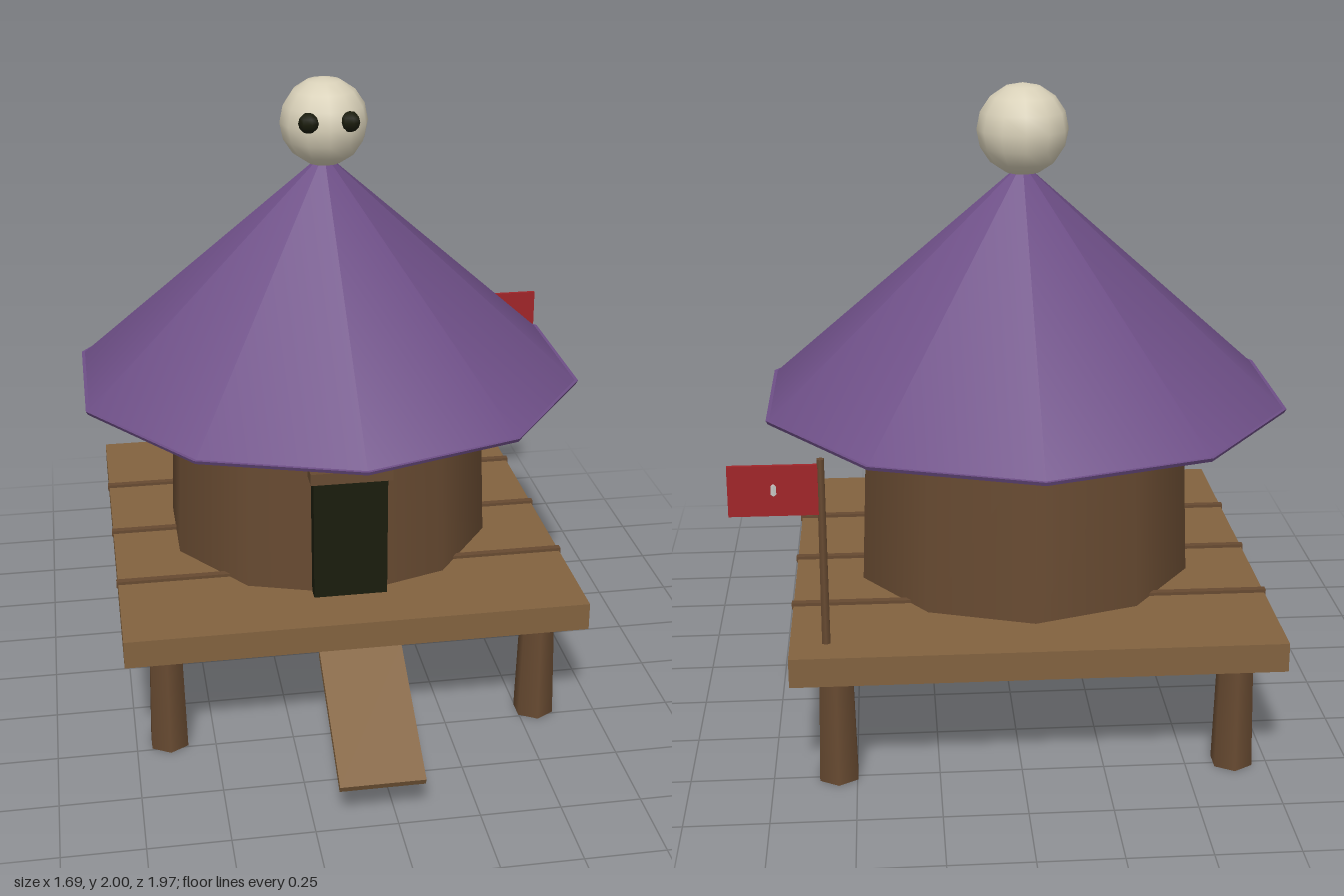
import * as THREE from 'three';

export function createModel() {
  const model = new THREE.Group();
  const material = (name, color) => {
    const m = new THREE.MeshStandardMaterial({ color });
    m.name = name;
    return m;
  };
  const plank = material('plank wood', 0x82623f);
  const bark = material('dark wood', 0x674a31);
  const thatch = material('purple roof', 0x6e4f87);
  const bone = material('bone', 0xd8d0b8);
  const dark = material('dark opening', 0x1a1c0c);
  const red = material('red cloth', 0xa02428);
  const silver = material('silver', 0xc8c8c4);

  // Centre of the hut and its platform
  const CX = -0.045, CZ = -0.14;

  const add = (name, geometry, mat, x, y, z) => {
    const mesh = new THREE.Mesh(geometry, mat);
    mesh.name = name;
    mesh.position.set(x, y, z);
    model.add(mesh);
    return mesh;
  };
  const box = (name, mat, w, h, d, x, y, z) =>
    add(name, new THREE.BoxGeometry(w, h, d), mat, x, y, z);

  // Platform on four tapered stilts
  box('platform', plank, 1.465, 0.09, 1.465, CX, 0.41, CZ);
  for (const sx of [-1, 1]) {
    for (const sz of [-1, 1]) {
      add('stilt', new THREE.CylinderGeometry(0.056, 0.066, 0.37, 6), bark,
        CX + sx * 0.6, 0.185, CZ + sz * 0.6);
    }
  }

  // Dark battens across the deck
  for (const dz of [-0.36, 0, 0.36]) {
    box('deckBatten', bark, 1.475, 0.02, 0.022, CX, 0.455, CZ + dz);
  }

  // Ramp leading up to the front
  const ramp = box('ramp', plank, 0.26, 0.026, 0.465, CX, 0.238, 0.777);
  ramp.rotation.x = 0.5;

  // Ten-sided hut wall
  add('wall', new THREE.CylinderGeometry(0.522, 0.545, 0.56, 10), bark, CX, 0.735, CZ);

  // Doorway and lintel
  box('door', dark, 0.235, 0.4, 0.1, CX - 0.003, 0.653, 0.362);
  box('lintel', bark, 0.26, 0.038, 0.1, CX, 0.871, 0.368);

  // Conical roof with a thin rim
  add('roof', new THREE.ConeGeometry(0.838, 0.74, 10), thatch, CX, 1.386, CZ);
  add('roofRim', new THREE.CylinderGeometry(0.842, 0.836, 0.012, 10), thatch, CX, 1.016, CZ);

  // Round skull on the peak with two sockets
  add('skull', new THREE.SphereGeometry(0.142, 12, 8), bone, CX, 1.858, CZ);
  for (const sx of [-1, 1]) {
    add('eyeSocket', new THREE.SphereGeometry(0.033, 7, 6), dark, CX + sx * 0.065, 1.882, -0.023);
  }

  // Flagpole, flag and metal stud
  add('flagpole', new THREE.CylinderGeometry(0.012, 0.014, 0.575, 6), bark, 0.58, 0.742, -0.767);
  box('flag', red, 0.257, 0.152, 0.012, 0.717, 0.938, -0.769);
  add('flagStud', new THREE.IcosahedronGeometry(0.033, 0), silver, 0.715, 0.94, -0.75);

  return model;
}
